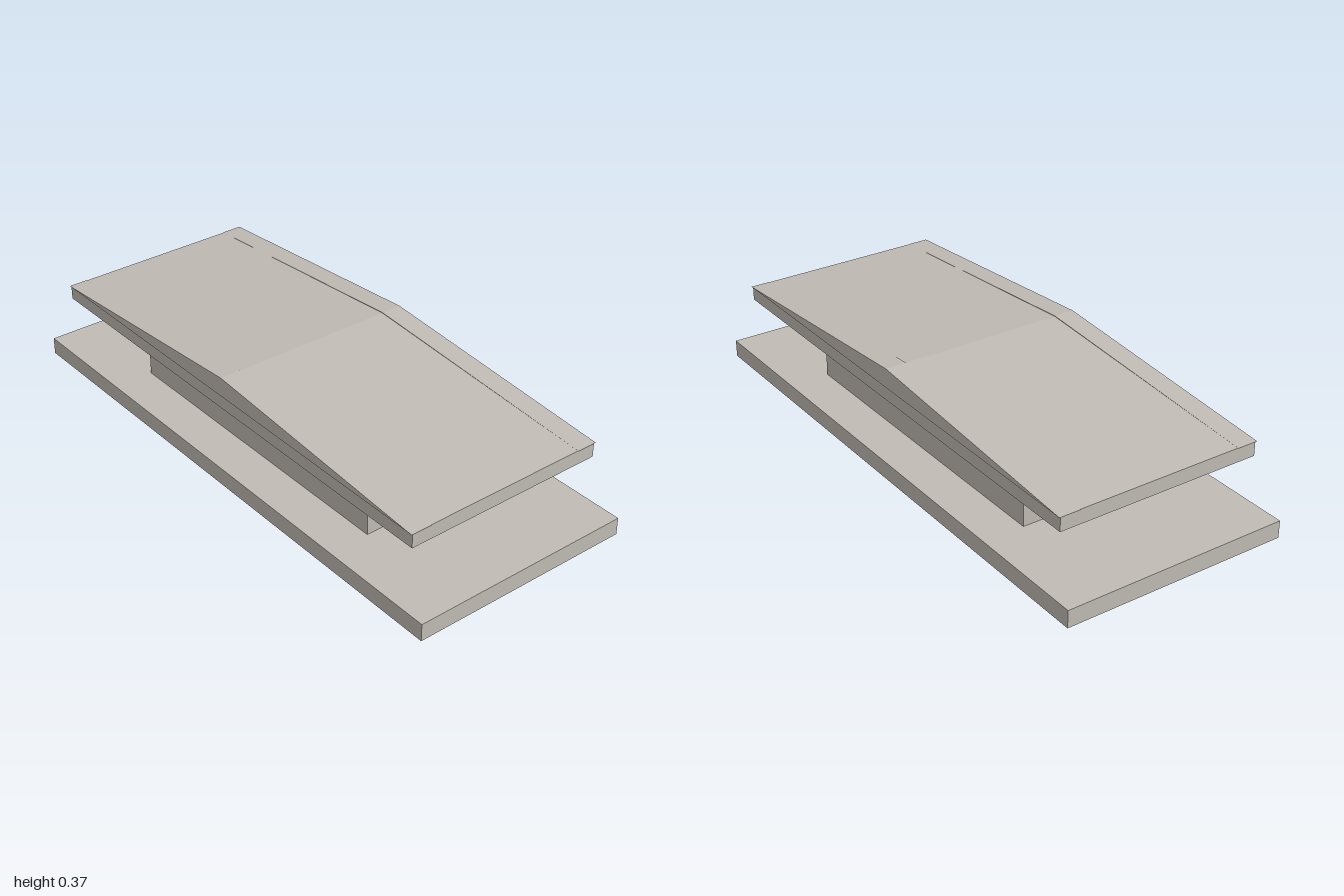
import * as THREE from 'three';

export function createModel() {
  const group = new THREE.Group();
  const stone = new THREE.MeshStandardMaterial({ color: 0xc0bbb4 });
  stone.name = 'pale stone';

  const add = (name, geometry) => {
    const mesh = new THREE.Mesh(geometry, stone);
    mesh.name = name;
    group.add(mesh);
  };

  // Rectangular block from y0 to y1, centred on x and z
  const block = (name, width, depth, y0, y1) =>
    add(name, new THREE.BoxGeometry(width, y1 - y0, depth).translate(0, (y0 + y1) / 2, 0));

  // Shallow triangular prism running along z from z0 to z1
  const gable = (name, halfWidth, y0, y1, z0, z1) => {
    const shape = new THREE.Shape([
      new THREE.Vector2(-halfWidth, y0),
      new THREE.Vector2(halfWidth, y0),
      new THREE.Vector2(0, y1),
    ]);
    add(name, new THREE.ExtrudeGeometry(shape, { depth: z1 - z0, bevelEnabled: false }).translate(0, 0, z0));
  };

  block('basePlinth', 2, 0.8, 0, 0.061);
  block('chestBody', 1.174, 0.51, 0.061, 0.255);
  block('lidSlab', 1.81, 0.724, 0.255, 0.305);

  // Pitched lid with a slightly raised pediment at each long side
  gable('lidRoof', 0.905, 0.305, 0.371, -0.293, 0.293);
  gable('frontPediment', 0.907, 0.305, 0.373, 0.293, 0.367);
  gable('backPediment', 0.907, 0.305, 0.373, -0.367, -0.293);

  return group;
}
